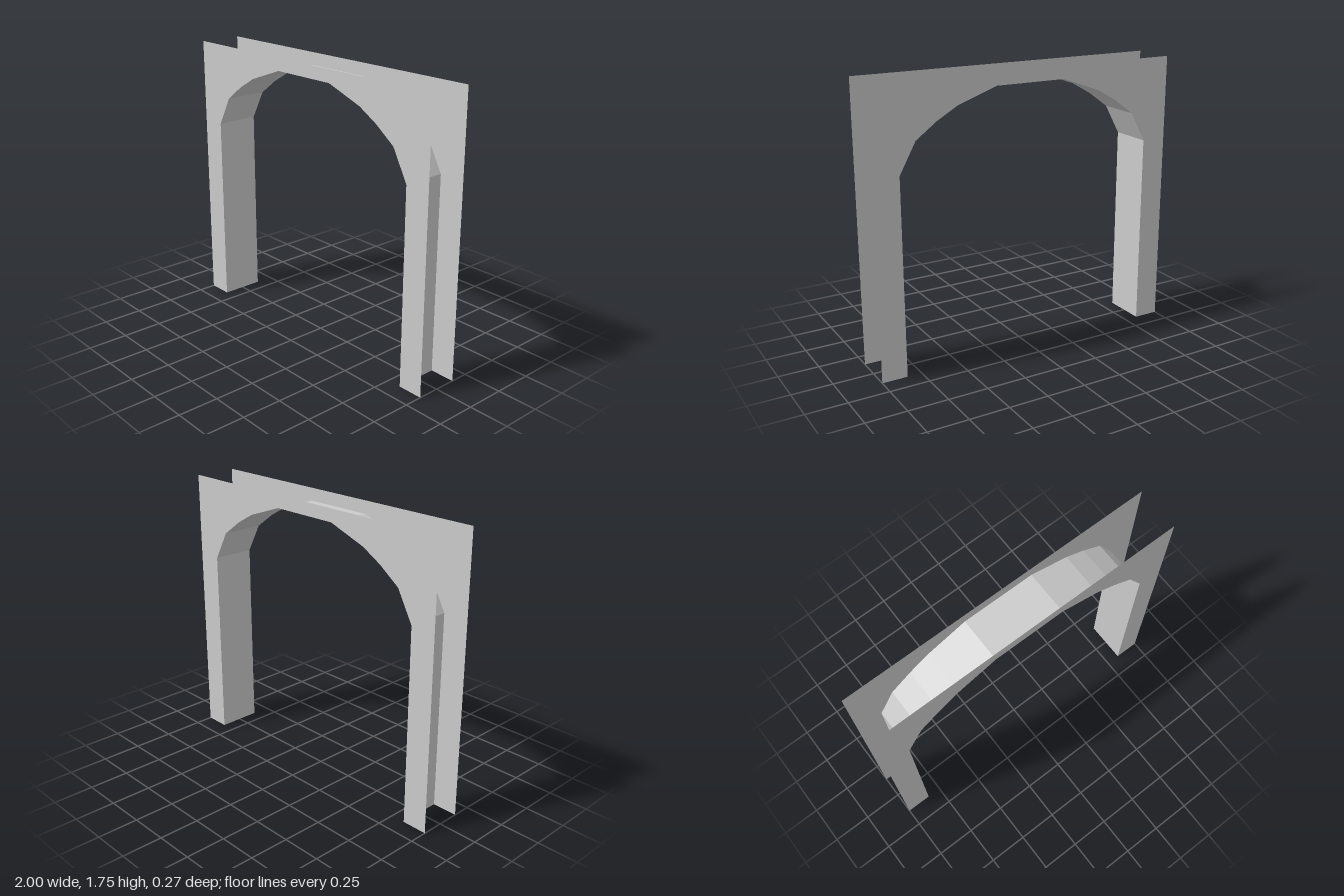
import * as THREE from 'three';

const HALF_DEPTH = 0.137, HALF_WIDTH = 1, HEIGHT = 1.75;

// Right half of the arch opening, floor to crown
const HALF_ARCH = [[0.84, 0], [0.84, 1.225], [0.737, 1.412], [0.605, 1.508], [0.475, 1.582], [0.225, 1.67]];

export function createModel() {
  const grey = new THREE.MeshStandardMaterial({ color: 0xcccccc, side: THREE.DoubleSide, flatShading: true });
  grey.name = 'plain grey';
  const group = new THREE.Group();
  group.name = 'archway';

  const arch = [...HALF_ARCH, ...HALF_ARCH.map(([x, y]) => [-x, y]).reverse()];

  // Front and back face panels, open along the top, outer sides and feet
  const outline = [[-HALF_WIDTH, 0], [-HALF_WIDTH, HEIGHT], [HALF_WIDTH, HEIGHT], [HALF_WIDTH, 0], ...arch];
  const panel = new THREE.ShapeGeometry(new THREE.Shape(outline.map(([x, y]) => new THREE.Vector2(x, y))));
  for (const side of [1, -1]) {
    const mesh = new THREE.Mesh(panel, grey);
    mesh.name = side > 0 ? 'frontPanel' : 'backPanel';
    mesh.position.z = side * HALF_DEPTH;
    if (side < 0) mesh.rotation.y = Math.PI;
    group.add(mesh);
  }

  // Inner lining swept along the opening, facing inwards
  const positions = [], indices = [];
  arch.forEach(([x, y], i) => {
    positions.push(x, y, HALF_DEPTH, x, y, -HALF_DEPTH);
    const a = 2 * i;
    if (i > 0) indices.push(a - 2, a, a - 1, a, a + 1, a - 1);
  });
  let lining = new THREE.BufferGeometry();
  lining.setAttribute('position', new THREE.Float32BufferAttribute(positions, 3));
  lining.setIndex(indices);
  lining = lining.toNonIndexed();
  lining.computeVertexNormals();
  const liningMesh = new THREE.Mesh(lining, grey);
  liningMesh.name = 'archLining';
  group.add(liningMesh);

  return group;
}
